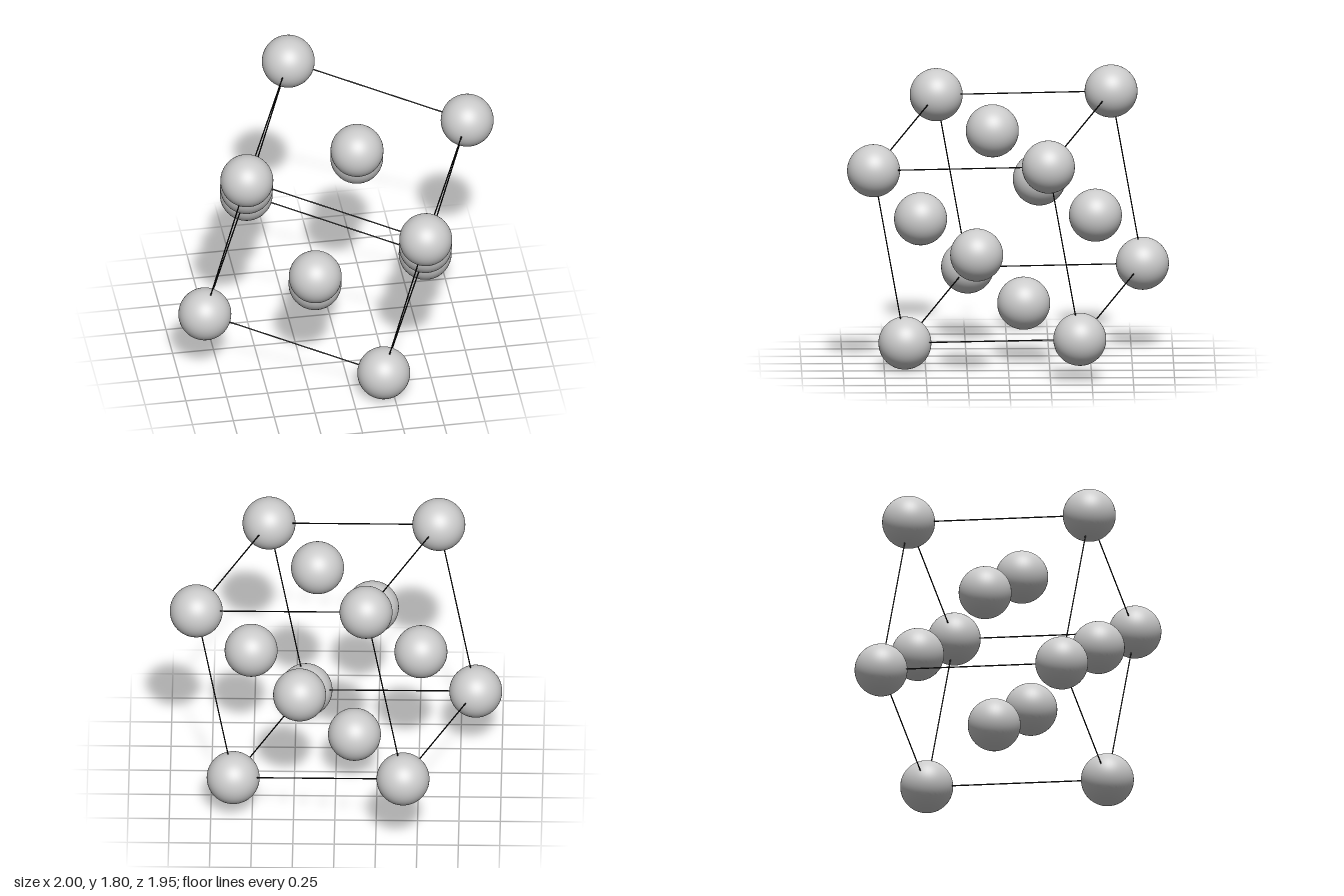
import * as THREE from 'three';

const EDGE = 1.138;     // side of the cubic cell
const ATOM_R = 0.16;
const ROD_R = 0.004;

export function createModel() {
  const model = new THREE.Group();
  model.name = 'faceCentredCubicCell';

  const grey = new THREE.MeshStandardMaterial({ color: 0xcccccc });
  const black = new THREE.MeshStandardMaterial({ color: 0x111111 });
  const atomGeo = new THREE.SphereGeometry(ATOM_R, 48, 32);
  const rodGeo = new THREE.CylinderGeometry(ROD_R, ROD_R, EDGE, 8);
  const h = EDGE / 2;

  // tilted cell: orthonormal axes of the cube
  const xAxis = new THREE.Vector3(1.03, -0.28, 0.39).normalize();
  const zAxis = xAxis.clone().cross(new THREE.Vector3(0.22, 1.10, 0.19)).normalize();
  const yAxis = zAxis.clone().cross(xAxis);
  const cell = new THREE.Group();
  cell.name = 'cell';
  cell.quaternion.setFromRotationMatrix(new THREE.Matrix4().makeBasis(xAxis, yAxis, zAxis));
  cell.position.y = 0.9;
  model.add(cell);

  const add = (name, geo, mat, x, y, z) => {
    const mesh = new THREE.Mesh(geo, mat);
    mesh.name = name;
    mesh.position.set(x, y, z);
    cell.add(mesh);
    return mesh;
  };

  // atoms at the eight corners
  for (const x of [-h, h]) for (const y of [-h, h]) for (const z of [-h, h]) {
    add('cornerAtom', atomGeo, grey, x, y, z);
  }

  // atoms at the six face centres
  for (const s of [-h, h]) {
    add('faceAtom', atomGeo, grey, s, 0, 0);
    add('faceAtom', atomGeo, grey, 0, s, 0);
    add('faceAtom', atomGeo, grey, 0, 0, s);
  }

  // twelve thin rods along the cube edges
  for (const a of [-h, h]) for (const b of [-h, h]) {
    add('edgeRod', rodGeo, black, a, 0, b);
    add('edgeRod', rodGeo, black, 0, a, b).rotation.z = Math.PI / 2;
    add('edgeRod', rodGeo, black, a, b, 0).rotation.x = Math.PI / 2;
  }

  return model;
}
